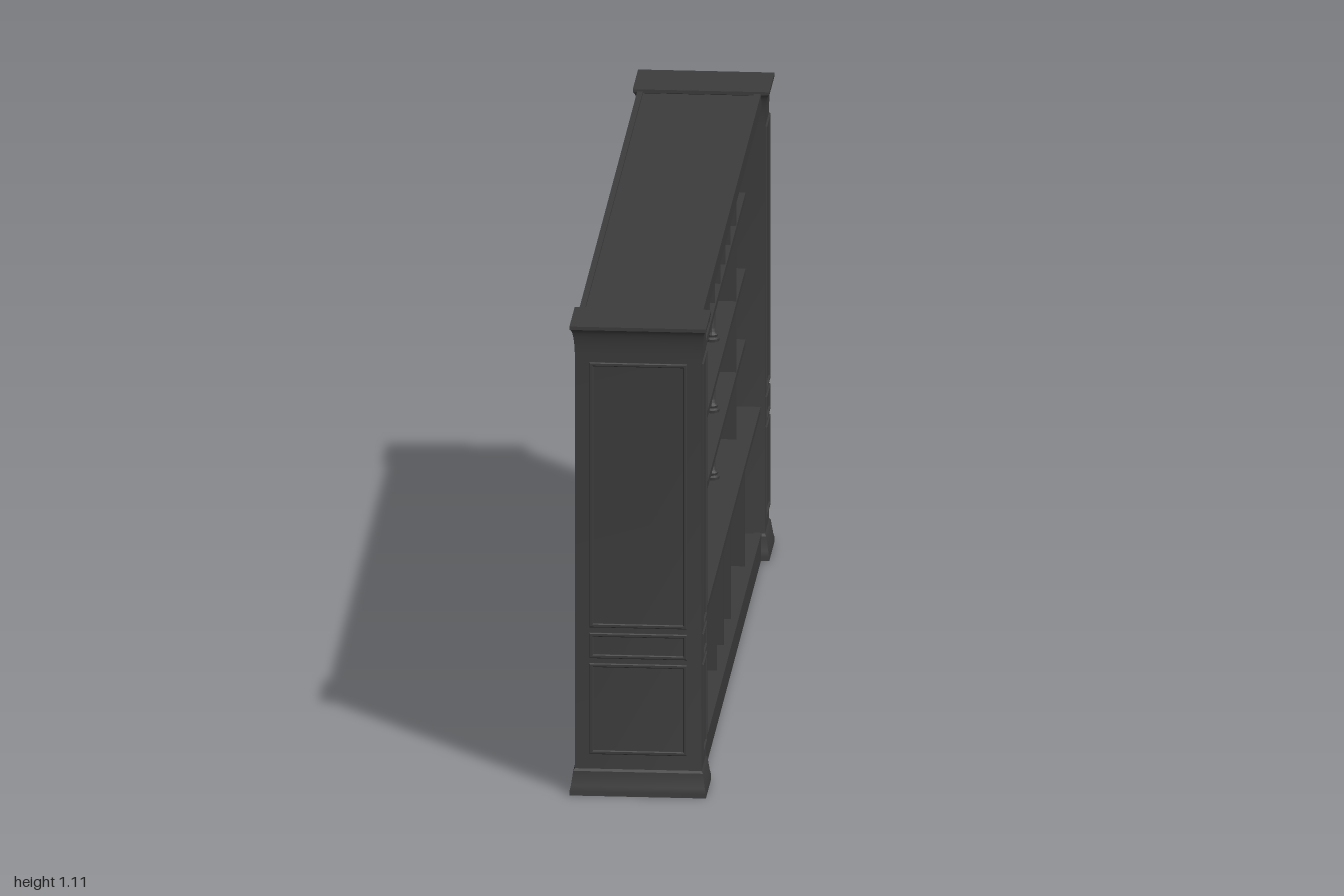
import * as THREE from 'three';
import { toCreasedNormals } from 'three/addons/utils/BufferGeometryUtils.js';

const wood = new THREE.MeshStandardMaterial({ color: 0x3c3c3c });

function add(parent, name, geometry) {
  const mesh = new THREE.Mesh(geometry, wood);
  mesh.name = name;
  parent.add(mesh);
  return mesh;
}

// Box given by its limits on each axis
function box(parent, name, x0, x1, y0, y1, z0, z1) {
  const mesh = add(parent, name, new THREE.BoxGeometry(x1 - x0, y1 - y0, z1 - z0));
  mesh.position.set((x0 + x1) / 2, (y0 + y1) / 2, (z0 + z1) / 2);
  return mesh;
}

// Skin over rectangular rings [halfX, y, halfZ], closed at both ends
function rectLoft(rings) {
  const pos = [], idx = [];
  for (const [hx, y, hz] of rings)
    pos.push(hx, y, hz, hx, y, -hz, -hx, y, -hz, -hx, y, hz);
  for (let i = 0; i < rings.length - 1; i++) {
    for (let j = 0; j < 4; j++) {
      const a = i * 4 + j, b = i * 4 + (j + 1) % 4;
      idx.push(a, b, b + 4, a, b + 4, a + 4);
    }
  }
  const t = (rings.length - 1) * 4;
  idx.push(0, 2, 1, 0, 3, 2, t, t + 1, t + 2, t, t + 2, t + 3);
  const g = new THREE.BufferGeometry();
  g.setAttribute('position', new THREE.Float32BufferAttribute(pos, 3));
  g.setIndex(idx);
  return toCreasedNormals(g, 0.5);
}

// Thin rectangular moulding lying in the XY plane, facing +z
function mouldingGeometry(w, h) {
  const rect = (Type, a, b) => new Type([
    new THREE.Vector2(-a, -b), new THREE.Vector2(a, -b),
    new THREE.Vector2(a, b), new THREE.Vector2(-a, b)]);
  const s = rect(THREE.Shape, w / 2 - 0.002, h / 2 - 0.002);
  s.holes.push(rect(THREE.Path, w / 2 - 0.007, h / 2 - 0.007));
  return new THREE.ExtrudeGeometry(s, {
    depth: 0.003, bevelEnabled: true, bevelThickness: 0.002, bevelSize: 0.002, bevelSegments: 1,
  });
}

const HX = 0.144, HZ = 0.061, PZ = 0.923;

function makePillar(side) {
  const pillar = new THREE.Group();
  pillar.name = side > 0 ? 'leftPillar' : 'rightPillar';
  pillar.position.z = side * PZ;
  const ring = (t, y) => [HX + 0.011 * t, y, HZ + 0.016 * t];

  // Hollow foot, flared base, straight shaft and cavetto crown
  const rings = [[HX - 0.012, 0.05, HZ - 0.012], [HX - 0.012, 0, HZ - 0.012],
    ring(1, 0), ring(1, 0.01), ring(0.75, 0.022), ring(0.3, 0.055), ring(0, 0.06)];
  for (let i = 0; i <= 8; i++) {
    const a = (i / 8) * Math.PI / 2;
    rings.push(ring(1 - Math.cos(a), 1.035 + 0.067 * Math.sin(a)));
  }
  rings.push(ring(1, 1.11));
  add(pillar, 'pillarBody', rectLoft(rings));

  // Framed panels on the outer end and on the open front
  for (const [y0, y1] of [[0.095, 0.31], [0.322, 0.382], [0.395, 1.022]]) {
    const end = add(pillar, 'endPanelMoulding', mouldingGeometry(0.222, y1 - y0));
    end.position.set(0, (y0 + y1) / 2, side * (HZ - 0.001));
    if (side < 0) end.rotation.y = Math.PI;
    const front = add(pillar, 'frontPanelMoulding', mouldingGeometry(0.108, y1 - y0));
    front.position.set(HX - 0.001, (y0 + y1) / 2, 0);
    front.rotation.y = Math.PI / 2;
  }
  return pillar;
}

// Board pierced by a row of round-headed arches
function arcadeGeometry() {
  const s = new THREE.Shape(), foot = 0.868, spring = 0.96, r = 0.0725;
  s.moveTo(-0.608, foot);
  for (let i = 0; i < 8; i++) {
    const c = (i - 3.5) * 0.15;
    s.lineTo(c - r, foot);
    s.lineTo(c - r, spring);
    s.absarc(c, spring, r, Math.PI, 0, true);
    s.lineTo(c + r, foot);
  }
  s.lineTo(0.608, foot);
  s.lineTo(0.608, 1.095);
  s.lineTo(-0.608, 1.095);
  s.closePath();
  const g = new THREE.ExtrudeGeometry(s, { depth: 0.016, bevelEnabled: false, curveSegments: 20 });
  return toCreasedNormals(g.rotateY(Math.PI / 2), 0.5);
}

// Turned column with matching base and capital
function columnGeometry(h) {
  const half = [[0.016, 0], [0.016, 0.006], [0.012, 0.01], [0.014, 0.016], [0.009, 0.022], [0.007, 0.03]];
  const pts = [[0, 0], ...half, ...half.map(([r, y]) => [r, h - y]).reverse(), [0, h]];
  return toCreasedNormals(
    new THREE.LatheGeometry(pts.map(([r, y]) => new THREE.Vector2(r, y)), 16), 0.6);
}

export function createModel() {
  const model = new THREE.Group();
  model.name = 'bookcase';
  model.add(makePillar(1), makePillar(-1));

  // Carcass between the pillars
  const W = 0.87, back = -0.132;
  box(model, 'backPanel', -0.145, back, 0, 1.105, -W, W);
  box(model, 'topBoard', back, 0.122, 1.088, 1.1, -W, W);
  box(model, 'fascia', 0.12, 0.136, 1.065, 1.105, -W, W);
  box(model, 'plinth', 0.12, 0.136, 0, 0.062, -W, W);
  box(model, 'bottomBoard', back, 0.122, 0.046, 0.06, -W, W);
  box(model, 'counter', back, 0.134, 0.344, 0.36, -W, W);

  // Upper shelves
  const shelves = [0.51, 0.678, 0.858];
  for (const y of shelves) box(model, 'shelf', back, 0.1, y - 0.007, y + 0.009, -W, W);

  // Upright dividers, above and below the counter
  for (const s of [-1, 1]) {
    box(model, 'upperDivider', back, 0.099, 0.36, 1.09, s * 0.61 - 0.004, s * 0.61 + 0.004);
    for (const z of [0.61, 0.2])
      box(model, 'lowerDivider', back, 0.118, 0.06, 0.345, s * z - 0.004, s * z + 0.004);
  }
  box(model, 'centreDivider', back, 0.118, 0.06, 0.345, -0.007, 0.007);

  // Arcade above the top shelf
  add(model, 'arcade', arcadeGeometry()).position.x = 0.082;

  // Columns standing between the shelves
  const floors = [0.36, 0.519, 0.687];
  for (const z of [-0.3, 0.3]) {
    floors.forEach((y, i) => {
      add(model, 'column', columnGeometry(shelves[i] - 0.007 - y)).position.set(0.068, y, z);
    });
  }
  return model;
}
